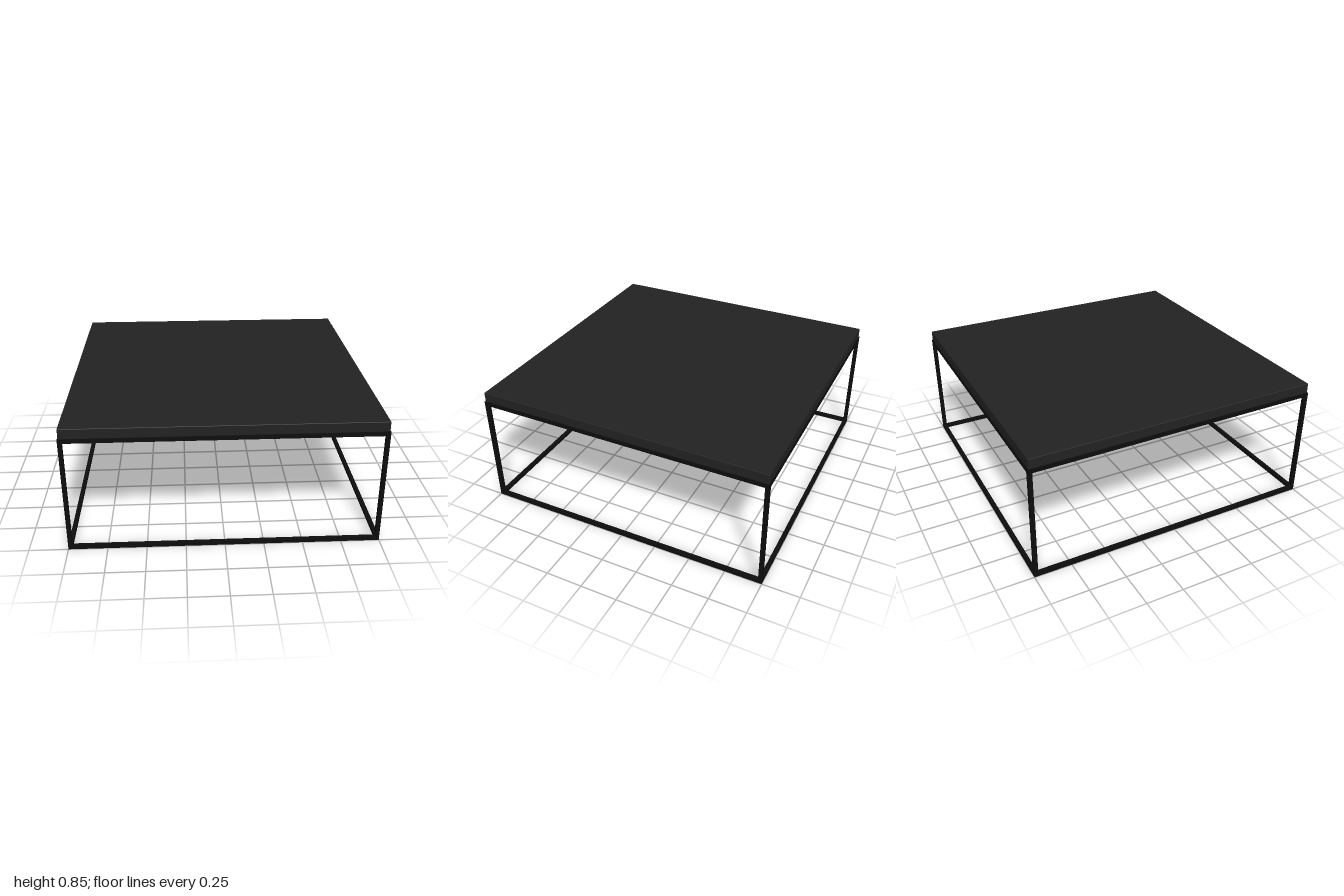
import * as THREE from 'three';
import { RoundedBoxGeometry } from 'three/addons/geometries/RoundedBoxGeometry.js';

const HALF = 1;          // half width of the frame
const BAR = 0.026;       // square bar thickness
const FRAME_TOP = 0.785;
const TABLE_TOP = 0.853;

export function createModel() {
  const table = new THREE.Group();
  table.name = 'coffeeTable';

  const metal = new THREE.MeshStandardMaterial({ color: 0x0d0d0d });
  const board = new THREE.MeshStandardMaterial({ color: 0x222222 });

  const frame = new THREE.Group();
  frame.name = 'frame';
  table.add(frame);

  const addBar = (name, w, h, d, x, y, z) => {
    const bar = new THREE.Mesh(new THREE.BoxGeometry(w, h, d), metal);
    bar.name = name;
    bar.position.set(x, y, z);
    frame.add(bar);
  };

  const edge = HALF - BAR / 2;
  const inner = 2 * (HALF - BAR);

  // Four full-height corner legs
  for (const x of [-edge, edge])
    for (const z of [-edge, edge])
      addBar('leg', BAR, FRAME_TOP, BAR, x, FRAME_TOP / 2, z);

  // Square rings of rails between the legs, at the floor and under the top
  for (const [name, y] of [['floorRail', BAR / 2], ['upperRail', FRAME_TOP - BAR / 2]])
    for (const side of [-edge, edge]) {
      addBar(name, inner, BAR, BAR, 0, y, side);
      addBar(name, BAR, BAR, inner, side, y, 0);
    }

  // Table top with slightly eased edges, resting on the frame
  const thickness = TABLE_TOP - FRAME_TOP;
  const top = new THREE.Mesh(
    new RoundedBoxGeometry(1.99, thickness, 1.99, 2, 0.004), board);
  top.name = 'tableTop';
  top.position.y = FRAME_TOP + thickness / 2;
  table.add(top);

  return table;
}
